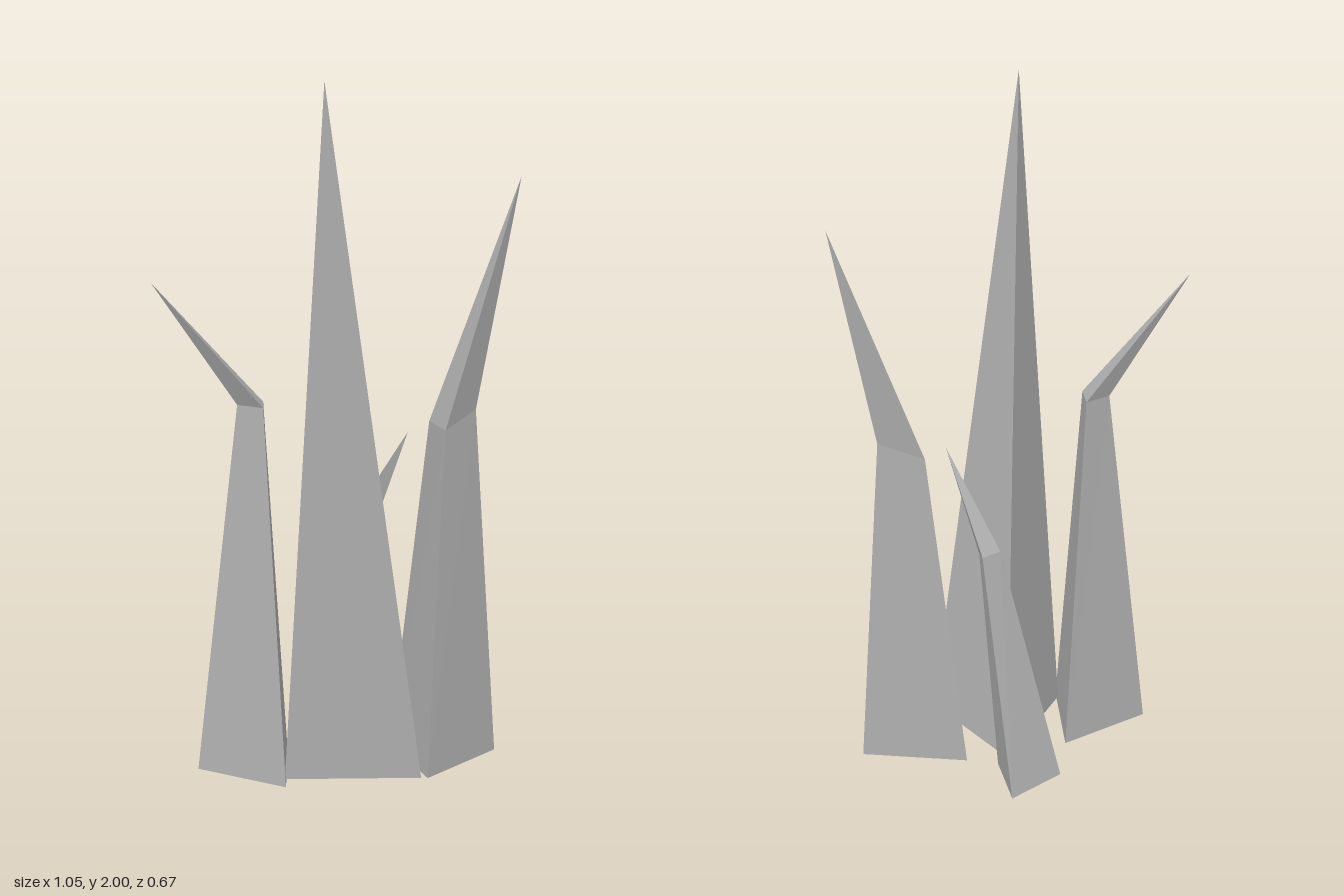
import * as THREE from 'three';

// Faceted spike: triangular rings from the base up, closed below and drawn to a tip
function spike(name, rings, tip, material) {
  const pos = [];
  const tri = (...corners) => corners.forEach((c) => pos.push(...c));
  const [a, b, c] = rings[0];
  tri(c, b, a);
  rings.forEach((ring, k) => {
    const next = rings[k + 1];
    for (let i = 0; i < 3; i++) {
      const j = (i + 1) % 3;
      if (next) {
        tri(ring[i], ring[j], next[j]);
        tri(ring[i], next[j], next[i]);
      } else {
        tri(ring[i], ring[j], tip);
      }
    }
  });
  const geometry = new THREE.BufferGeometry();
  geometry.setAttribute('position', new THREE.Float32BufferAttribute(pos, 3));
  geometry.computeVertexNormals();
  const mesh = new THREE.Mesh(geometry, material);
  mesh.name = name;
  return mesh;
}

export function createModel() {
  const group = new THREE.Group();
  group.name = 'rockSpikes';
  const stone = new THREE.MeshStandardMaterial({ color: 0xb0b0b0 });
  stone.name = 'grey stone';

  // Tall straight spike at the front
  group.add(spike('tallSpike', [
    [[-0.16, 0.01, 0.23], [0.23, 0.01, 0.23], [0.035, 0.01, -0.108]],
  ], [-0.047, 2, 0.333], stone));

  // Spike with a thin tip bent towards -x
  group.add(spike('rightBentSpike', [
    [[-0.41, 0, 0.113], [-0.157, 0, 0.268], [-0.15, 0, -0.028]],
    [[-0.288, 1.08, 0.117], [-0.215, 1.08, 0.16], [-0.215, 1.08, 0.076]],
  ], [-0.523, 1.435, 0.155], stone));

  // Spike with a long tip bent towards +x
  group.add(spike('leftBentSpike', [
    [[0.155, 0, -0.092], [0.25, 0, 0.207], [0.462, 0, -0.023]],
    [[0.264, 0.99, -0.066], [0.302, 0.99, 0.064], [0.396, 1.03, -0.035]],
  ], [0.523, 1.695, -0.093], stone));

  // Short spike at the back, leaning forward
  group.add(spike('backSpike', [
    [[-0.11, 0.015, -0.22], [0.067, 0.015, -0.143], [0.045, 0.015, -0.335]],
    [[0.055, 0.71, -0.115], [0.113, 0.69, -0.085], [0.11, 0.71, -0.15]],
  ], [0.197, 0.98, 0.03], stone));

  return group;
}
